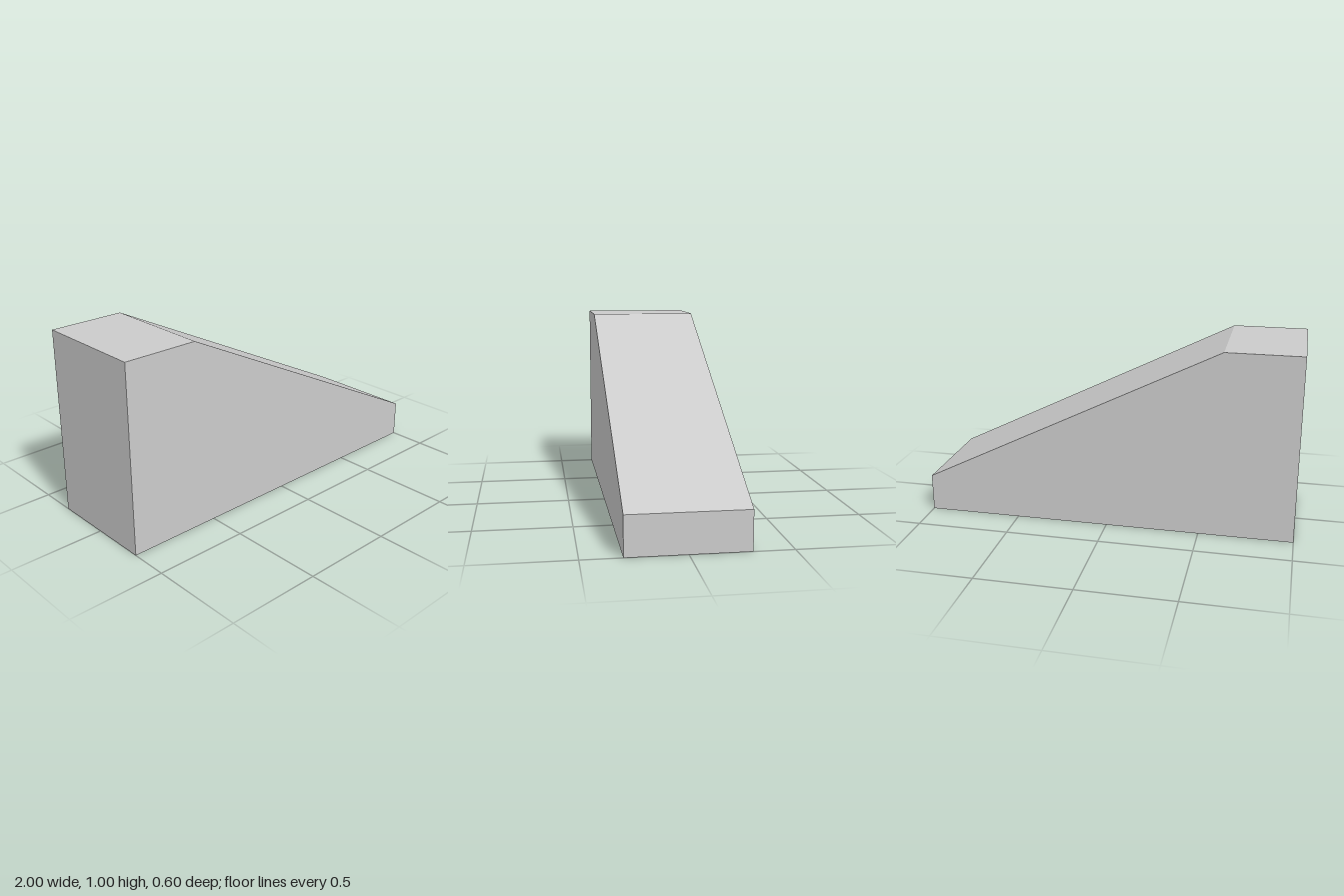
import * as THREE from 'three';

export function createModel() {
  const group = new THREE.Group();
  group.name = 'rampBlock';

  // Side profile: flat top, long slope, short vertical end
  const profile = new THREE.Shape([
    [-1, 0], [1, 0], [1, 0.2], [-0.6, 1], [-1, 1],
  ].map(([x, y]) => new THREE.Vector2(x, y)));

  const depth = 0.6;
  const geometry = new THREE.ExtrudeGeometry(profile, { depth, bevelEnabled: false });
  geometry.translate(0, 0, -depth / 2);

  const ramp = new THREE.Mesh(
    geometry,
    new THREE.MeshStandardMaterial({ color: 0xcccccc, flatShading: true }),
  );
  ramp.name = 'ramp';
  group.add(ramp);
  return group;
}
